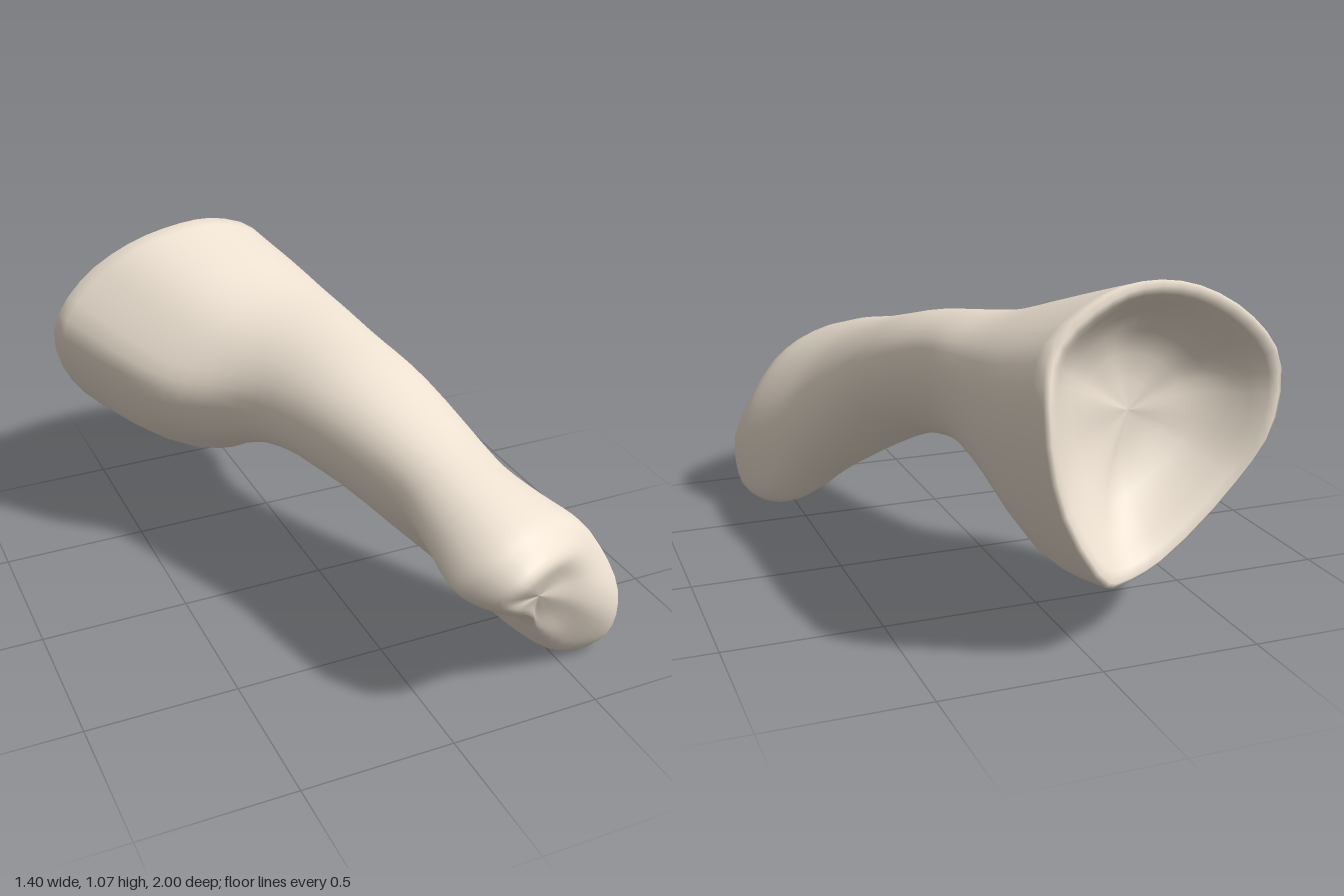
import * as THREE from 'three';

const SIDES = 36;

// Closed outline, counter-clockwise from its +x side, scaled to unit half width and height
function outline(points, cx, cy, cz, w, h) {
  return new THREE.CatmullRomCurve3(
    points.map(([x, y, z]) => new THREE.Vector3((x - cx) / w, (y - cy) / h, (z - cz) / w)), true);
}

// Rim of the flared head
const headCurve = outline([
  [0.19, 0.79, -0.985], [0.14, 0.94, -0.92], [-0.04, 1.04, -0.84], [-0.22, 1.065, -0.77], [-0.41, 1.03, -0.74],
  [-0.58, 0.93, -0.74], [-0.7, 0.78, -0.72], [-0.67, 0.58, -0.75], [-0.54, 0.41, -0.76], [-0.26, 0.225, -0.83],
  [-0.11, 0.195, -0.88], [-0.02, 0.23, -0.94], [0.13, 0.48, -0.965],
], -0.255, 0.63, -0.845, 0.445, 0.435);

// Widest line around the far knuckle: a knob on one side, a drooping lobe on the other
const knuckleCurve = outline([
  [0.695, 0.14, 0.79], [0.69, 0.25, 0.78], [0.63, 0.39, 0.76], [0.52, 0.53, 0.78], [0.39, 0.6, 0.82],
  [0.25, 0.62, 0.86], [0.12, 0.57, 0.88], [0.04, 0.47, 0.84], [0.12, 0.38, 0.84], [0.25, 0.29, 0.8],
  [0.34, 0.2, 0.76], [0.4, 0.09, 0.74], [0.5, 0.015, 0.74], [0.6, 0, 0.75], [0.67, 0.04, 0.77],
], 0.365, 0.32, 0.8, 0.325, 0.31);

// Sections: centre x, y, z, half width, half height, skew, tilt of the section plane,
// shape (0 ellipse, 1 head outline, -1 knuckle outline)
const RIM = [-0.255, 0.63, -0.845, 0.445, 0.435, 0, 0, 1];
const BODY = [
  RIM,
  [-0.16, 0.595, -0.62, 0.415, 0.395, -0.3, 0, 0.9],
  [-0.075, 0.625, -0.39, 0.36, 0.29, -0.4, 0, 0.6],
  [0.04, 0.65, -0.17, 0.275, 0.225, -0.2, 0.03, 0.2],
  [0.145, 0.61, 0.1, 0.265, 0.215, 0.1, 0, 0],
  [0.27, 0.455, 0.45, 0.265, 0.275, 0.45, 0, -0.25],
  [0.335, 0.355, 0.65, 0.305, 0.33, 0.72, 0, -0.7],
  [0.365, 0.32, 0.8, 0.325, 0.31, 0.8, 0, -1],
  [0.36, 0.325, 0.865, 0.28, 0.265, 0.8, 0.03, -1],
  [0.335, 0.355, 0.917, 0.2, 0.19, 0.8, 0.12, -1],
  [0.31, 0.39, 0.933, 0.1, 0.095, 0.8, 0.2, -1],
  [0.3, 0.405, 0.937, 0, 0, 0.8, 0.2, -1],
];

// Hollow joint surface: scale of the rim and depth, from the middle out to the lip
const CUP = [[0, 0.25], [0.2, 0.247], [0.4, 0.23], [0.58, 0.185], [0.72, 0.12], [0.82, 0.06], [0.9, 0.01], [0.96, -0.012]];

function section([cx, cy, cz, w, h, skew, tilt, shape]) {
  const curve = shape > 0 ? headCurve : knuckleCurve;
  const ring = [];
  for (let j = 0; j < SIDES; j++) {
    const t = (j / SIDES) * Math.PI * 2;
    const p = new THREE.Vector3(Math.cos(t), Math.sin(t - skew), 0);
    p.lerp(curve.getPoint(j / SIDES), Math.abs(shape));
    const dx = w * p.x, dy = h * p.y;
    ring.push([cx + dx, cy + dy, cz + w * p.z + tilt * (dy - dx)]);
  }
  return ring;
}

// Catmull-Rom blend of the section values
function between(rows, i, f) {
  const at = (k) => rows[Math.min(Math.max(k, 0), rows.length - 1)];
  const [a, b, c, d] = [at(i - 1), at(i), at(i + 1), at(i + 2)];
  return b.map((p, k) => {
    const m0 = (c[k] - a[k]) / 2, m1 = (d[k] - p) / 2;
    return p + f * m0 + f * f * (3 * (c[k] - p) - 2 * m0 - m1) + f * f * f * (2 * (p - c[k]) + m0 + m1);
  });
}

function loft(rings) {
  const index = [];
  for (let i = 0; i < rings.length - 1; i++) {
    for (let j = 0; j < SIDES; j++) {
      const n = (j + 1) % SIDES;
      const a = i * SIDES + j, b = i * SIDES + n, c = a + SIDES, d = b + SIDES;
      index.push(a, b, d, a, d, c);
    }
  }
  const geometry = new THREE.BufferGeometry();
  geometry.setAttribute('position', new THREE.Float32BufferAttribute(rings.flat(2), 3));
  geometry.setIndex(index);
  geometry.computeVertexNormals();
  return geometry;
}

export function createModel() {
  const group = new THREE.Group();
  group.name = 'bone';
  const rings = [];

  // hollow end
  for (const [scale, depth] of CUP) {
    const row = [...RIM];
    row[2] += depth;
    row[3] *= scale;
    row[4] *= scale;
    rings.push(section(row));
  }

  // head, shaft and far knuckle
  const STEPS = 4;
  for (let i = 0; i < BODY.length - 1; i++) {
    for (let s = 0; s < STEPS; s++) rings.push(section(between(BODY, i, s / STEPS)));
  }
  rings.push(section(BODY[BODY.length - 1]));

  const material = new THREE.MeshStandardMaterial({ color: 0xeee2d2 });
  const bone = new THREE.Mesh(loft(rings), material);
  bone.name = 'boneShaftAndEnds';
  group.add(bone);
  return group;
}
